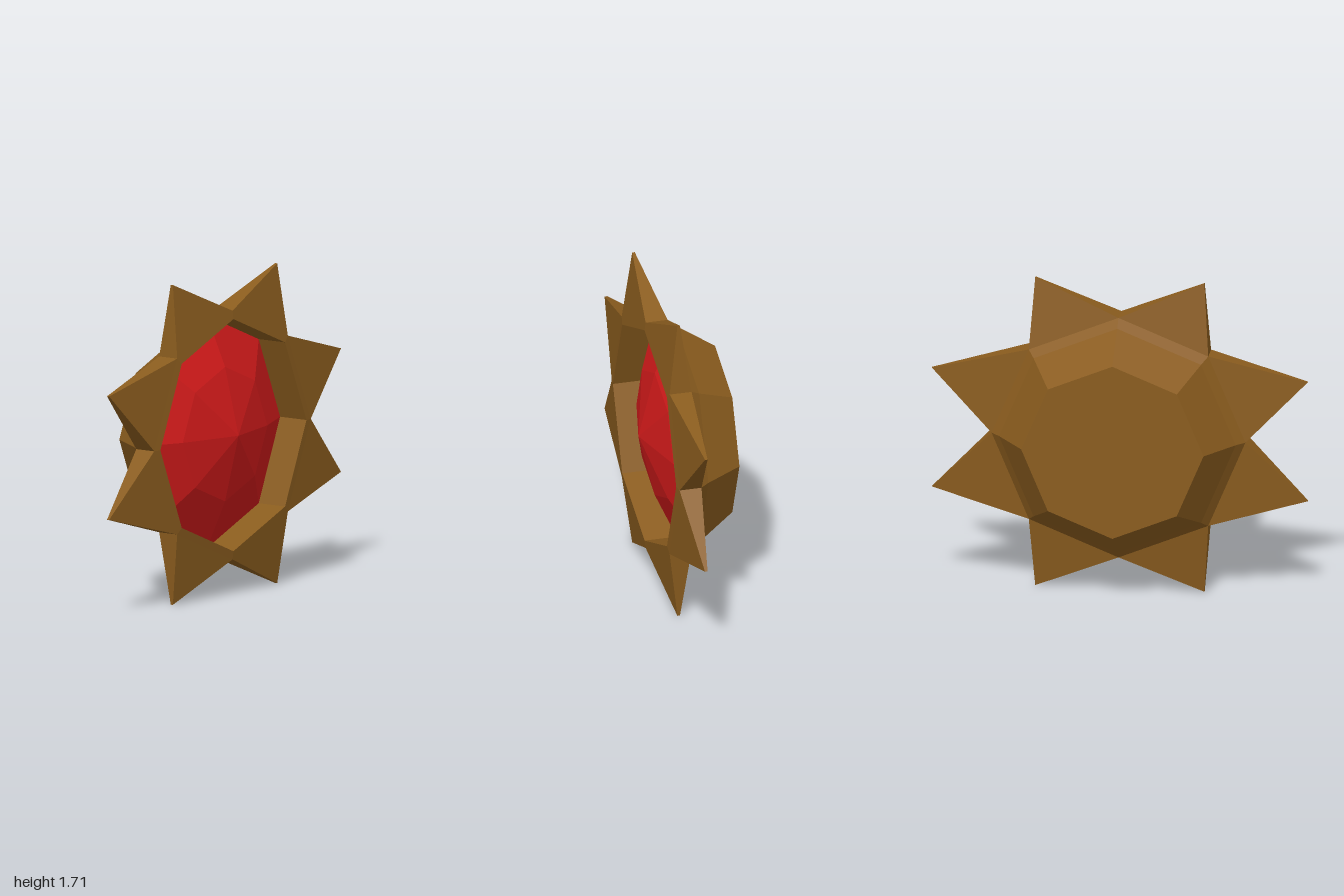
import * as THREE from 'three';

const SIDES = 8;
const CENTER_Y = 0.855;

// Eight-sided ring of points in the xy plane, first corner on +x
function ring(r, z) {
  return Array.from({ length: SIDES }, (_, i) => {
    const a = (i * Math.PI * 2) / SIDES;
    return [r * Math.cos(a), r * 0.985 * Math.sin(a), z];
  });
}

// Flat-faced mesh from polygons with counter-clockwise corners
function facetMesh(name, polygons, material) {
  const pos = [];
  for (const p of polygons)
    for (let i = 1; i < p.length - 1; i++) pos.push(...p[0], ...p[i], ...p[i + 1]);
  const geometry = new THREE.BufferGeometry();
  geometry.setAttribute('position', new THREE.Float32BufferAttribute(pos, 3));
  geometry.computeVertexNormals();
  const mesh = new THREE.Mesh(geometry, material);
  mesh.name = name;
  return mesh;
}

// Quads joining consecutive rings
function loft(rings) {
  const faces = [];
  for (let k = 0; k < rings.length - 1; k++)
    for (let i = 0; i < SIDES; i++) {
      const j = (i + 1) % SIDES;
      faces.push([rings[k][i], rings[k][j], rings[k + 1][j], rings[k + 1][i]]);
    }
  return faces;
}

export function createModel() {
  const brown = new THREE.MeshStandardMaterial({ color: 0x8a5c1e, flatShading: true });
  const red = new THREE.MeshStandardMaterial({ color: 0xd01a1a, flatShading: true });
  const group = new THREE.Group();
  group.name = 'starBrooch';

  // Setting: tapered back, outer band, front lip and inner wall
  const back = ring(0.485, -0.21);
  const bandBack = ring(0.675, 0.05);
  const bandFront = ring(0.675, 0.17);
  const setting = loft([
    back, ring(0.63, 0), bandBack, bandFront, ring(0.63, 0.176), ring(0.63, 0),
  ]);
  setting.push([...back].reverse());
  group.add(facetMesh('setting', setting, brown));

  // Star spikes, one on each side of the band
  const spikes = new THREE.Group();
  spikes.name = 'spikes';
  const quarter = [[1, 0.33], [0.45, 0.855]];
  const half = [...quarter, ...quarter.map(([x, y]) => [-x, y]).reverse()];
  const tips = [...half, ...half.map(([x, y]) => [-x, -y])];
  tips.forEach(([x, y], i) => {
    const j = (i + 1) % SIDES;
    const a = bandBack[i], b = bandBack[j], af = bandFront[i], bf = bandFront[j];
    const t = [x, y, 0.106], tf = [x, y, 0.12];
    spikes.add(facetMesh('spike', [
      [af, tf, bf], [a, b, t], [a, t, tf, af], [b, bf, tf, t],
    ], brown));
  });
  group.add(spikes);

  // Faceted gem rising out of the setting
  const crown = ring(0.365, 0.12);
  const gem = loft([ring(0.63, 0), crown]);
  crown.forEach((p, i) => gem.push([p, crown[(i + 1) % SIDES], [0, 0, 0.21]]));
  group.add(facetMesh('gem', gem, red));

  group.children.forEach((part) => { part.position.y = CENTER_Y; });
  return group;
}
